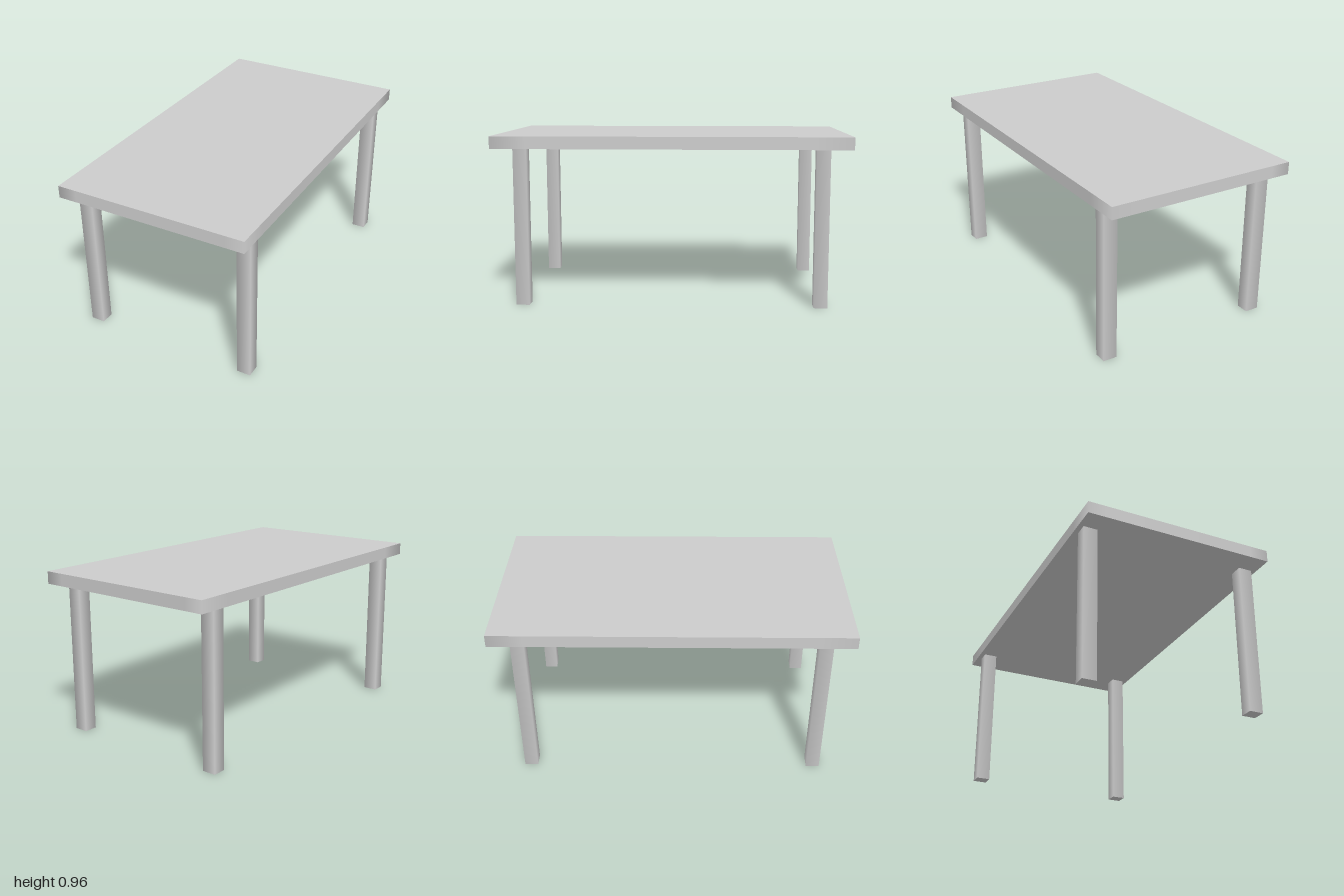
import * as THREE from 'three';

const material = new THREE.MeshStandardMaterial({ color: 0xcccccc });

// Box whose side walls shade smoothly around the four upright edges
function softBox(w, h, d, segments) {
  const geometry = new THREE.BoxGeometry(w, h, d, segments, 1, segments);
  const { position, normal } = geometry.attributes;
  for (let i = 0; i < position.count; i++) {
    const x = position.getX(i), z = position.getZ(i);
    const onEdge = Math.abs(x) > w / 2 - 1e-4 && Math.abs(z) > d / 2 - 1e-4;
    if (onEdge && Math.abs(normal.getY(i)) < 0.5) {
      normal.setXYZ(i, Math.sign(x) * Math.SQRT1_2, 0, Math.sign(z) * Math.SQRT1_2);
    }
  }
  return geometry;
}

function addPart(group, name, geometry, x, y, z) {
  const mesh = new THREE.Mesh(geometry, material);
  mesh.name = name;
  mesh.position.set(x, y, z);
  group.add(mesh);
}

export function createModel() {
  const table = new THREE.Group();
  table.name = 'table';

  const underside = 0.887, thickness = 0.07;

  // Slab top
  addPart(table, 'tabletop', softBox(1.11, thickness, 2, 10), 0, underside + thickness / 2, 0);

  // Four square legs set in from the corners
  const leg = softBox(0.081, underside, 0.076, 1);
  for (const [side, sx] of [['Left', 1], ['Right', -1]]) {
    for (const [end, sz] of [['front', 1], ['back', -1]]) {
      addPart(table, `${end}${side}Leg`, leg, sx * 0.486, underside / 2, sz * 0.839);
    }
  }
  return table;
}
